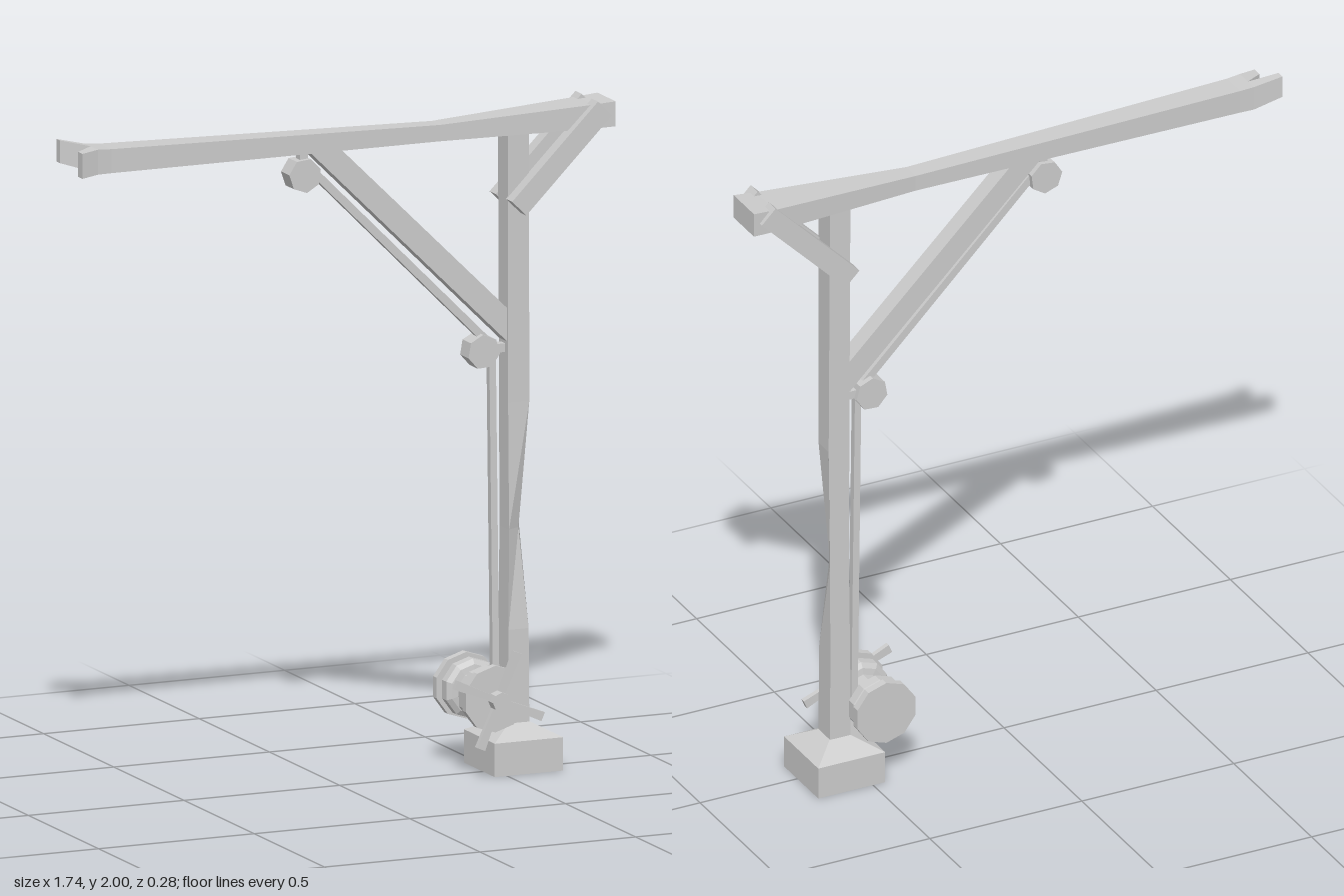
import * as THREE from 'three';

const mat = new THREE.MeshStandardMaterial({ color: 0xcccccc, flatShading: true });
const ZC = -0.025; // depth of the frame's middle plane

function add(parent, name, geometry, x = 0, y = 0, z = 0) {
  const mesh = new THREE.Mesh(geometry, mat);
  mesh.name = name;
  mesh.position.set(x, y, z);
  parent.add(mesh);
  return mesh;
}

// Skin over four-cornered rings, capped at both ends
function loft(rings) {
  const pos = [];
  const tri = (...pts) => pts.forEach(p => pos.push(...p));
  for (let r = 0; r < rings.length - 1; r++) {
    const a = rings[r], b = rings[r + 1];
    for (let i = 0; i < 4; i++) {
      const j = (i + 1) % 4;
      tri(a[i], a[j], b[j]);
      tri(a[i], b[j], b[i]);
    }
  }
  const s = rings[0], e = rings[rings.length - 1];
  tri(s[0], s[2], s[1]); tri(s[0], s[3], s[2]);
  tri(e[0], e[1], e[2]); tri(e[0], e[2], e[3]);
  const g = new THREE.BufferGeometry();
  g.setAttribute('position', new THREE.Float32BufferAttribute(pos, 3));
  g.computeVertexNormals();
  return g;
}

// Ring across the y axis; cut pulls in the front left corner like an axe mark
const ringY = (y, x0, x1, z0, z1, cut = 0) =>
  [[x1 - cut, y, z1 - cut], [x1, y, z0], [x0, y, z0], [x0, y, z1]];
// Ring across the x axis
const ringX = (x, y0, y1, z0, z1) => [[x, y0, z0], [x, y1, z0], [x, y1, z1], [x, y0, z1]];

// Cylinder along z
const discZ = (r, depth, sides, turn = 0) =>
  new THREE.CylinderGeometry(r, r, depth, sides, 1, false, turn).rotateX(Math.PI / 2);

// Square rope between two points
function rope(parent, name, a, b, w) {
  const dx = b[0] - a[0], dy = b[1] - a[1];
  const m = add(parent, name, new THREE.BoxGeometry(w, Math.hypot(dx, dy), w),
    (a[0] + b[0]) / 2, (a[1] + b[1]) / 2, ZC);
  m.rotation.z = Math.atan2(dy, dx) - Math.PI / 2;
}

export function createModel() {
  const crane = new THREE.Group();
  crane.name = 'crane';

  // Footing and hewn post
  add(crane, 'base', loft([
    ringY(0, 0.46, 0.68, -0.135, 0.085),
    ringY(0.1, 0.46, 0.68, -0.135, 0.085),
    ringY(0.14, 0.535, 0.605, -0.06, 0.015),
  ]));
  add(crane, 'post', loft([
    ringY(0.13, 0.535, 0.603, -0.06, 0.015),
    ringY(0.42, 0.537, 0.602, -0.06, 0.012),
    ringY(0.72, 0.54, 0.602, -0.058, 0.01, 0.022),
    ringY(1.1, 0.537, 0.605, -0.055, 0.01),
    ringY(1.91, 0.535, 0.602, -0.058, 0.015),
  ]));

  // Top beam with a split end
  add(crane, 'beam', loft([
    ringX(-0.785, 1.905, 1.98, -0.072, 0.018),
    ringX(-0.74, 1.905, 1.977, -0.07, 0.015),
    ringX(0.32, 1.903, 1.952, -0.056, 0.005),
    ringX(0.8, 1.903, 1.975, -0.09, 0.033),
    ringX(0.87, 1.905, 1.98, -0.093, 0.038),
  ]));
  add(crane, 'beamProngBack', loft([
    ringX(-0.872, 1.932, 2, -0.085, -0.06),
    ringX(-0.785, 1.905, 1.98, -0.072, -0.034),
  ]));
  add(crane, 'beamProngFront', loft([
    ringX(-0.84, 1.9, 1.975, 0.0, 0.031),
    ringX(-0.785, 1.905, 1.98, -0.034, 0.018),
  ]));

  // Pair of braces at the short end
  for (const [side, z] of [['Front', 0.033], ['Back', -0.083]]) {
    const brace = add(crane, 'brace' + side, new THREE.BoxGeometry(0.39, 0.064, 0.045), 0.69, 1.828, z);
    brace.rotation.z = Math.PI / 4;
  }

  // Long diagonal strut under the beam
  const strut = new THREE.Shape([[-0.1, 1.91], [0, 1.91], [0.545, 1.375], [0.545, 1.275]]
    .map(p => new THREE.Vector2(...p)));
  add(crane, 'strut', new THREE.ExtrudeGeometry(strut, { depth: 0.058, bevelEnabled: false }), 0, 0, ZC - 0.029);

  // Pulleys with their hangers
  add(crane, 'upperPulley', discZ(0.052, 0.06, 7, 0.1), -0.112, 1.838, ZC);
  add(crane, 'upperHanger', new THREE.BoxGeometry(0.025, 0.06, 0.03), -0.11, 1.885, ZC);
  add(crane, 'lowerPulley', discZ(0.052, 0.06, 7, 0.5), 0.462, 1.258, ZC);
  add(crane, 'lowerHanger', new THREE.BoxGeometry(0.07, 0.026, 0.03), 0.51, 1.262, ZC);

  // Ropes
  rope(crane, 'diagonalRope', [-0.085, 1.852], [0.485, 1.282], 0.024);
  rope(crane, 'verticalRope', [0.498, 1.26], [0.51, 0.22], 0.021);

  // Winch drum
  const winch = new THREE.Group();
  winch.name = 'winch';
  winch.position.set(0.46, 0.235, 0);
  crane.add(winch);
  const profile = [
    [0, -0.143], [0.1, -0.143], [0.1, -0.118], [0.075, -0.118], [0.075, -0.108],
    [0.09, -0.1], [0.09, -0.07], [0.075, -0.06], [0.055, -0.057], [0.055, 0.007],
    [0.075, 0.01], [0.09, 0.02], [0.09, 0.05], [0.075, 0.058], [0.075, 0.067],
    [0.1, 0.067], [0.1, 0.09], [0, 0.09],
  ].map(p => new THREE.Vector2(...p));
  add(winch, 'drum', new THREE.LatheGeometry(profile, 10).rotateX(Math.PI / 2));

  // Crank wheel: hub and four flared spokes
  add(winch, 'axle', discZ(0.018, 0.04, 8), 0, 0, 0.1);
  add(winch, 'hub', discZ(0.029, 0.035, 8), 0, 0, 0.12);
  for (let i = 0; i < 4; i++) {
    const spoke = add(winch, 'spoke', loft([
      ringY(0.01, -0.009, 0.009, -0.007, 0.007),
      ringY(0.152, -0.014, 0.014, -0.008, 0.008),
    ]), 0, 0, 0.112);
    spoke.rotation.z = THREE.MathUtils.degToRad(-23 + 90 * i);
  }
  return crane;
}
